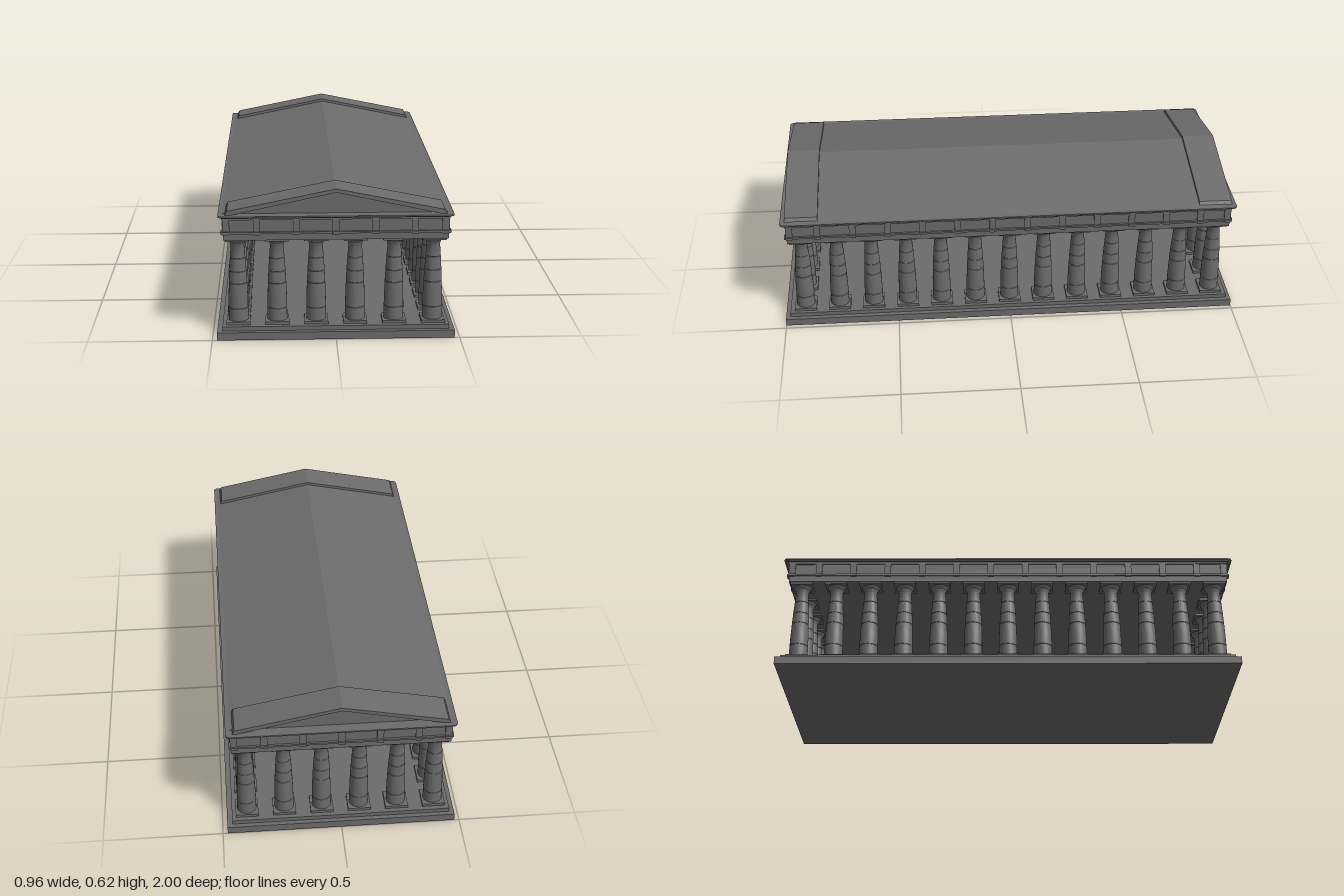
import * as THREE from 'three';
import { toCreasedNormals } from 'three/addons/utils/BufferGeometryUtils.js';

const stone = new THREE.MeshStandardMaterial({ color: 0x6c6c6c });

function add(parent, name, geometry, x = 0, y = 0, z = 0) {
  const mesh = new THREE.Mesh(geometry, stone);
  mesh.name = name;
  mesh.position.set(x, y, z);
  parent.add(mesh);
  return mesh;
}

// box given by half width, half depth and its bottom and top heights
function slab(parent, name, hx, hz, y0, y1, x = 0, z = 0) {
  return add(parent, name, new THREE.BoxGeometry(hx * 2, y1 - y0, hz * 2), x, (y0 + y1) / 2, z);
}

// flat slab with rounded corners in plan
function roundedSlab(parent, name, hx, hz, r, y0, y1) {
  const shape = new THREE.Shape();
  shape.absarc(hx - r, hz - r, r, 0, Math.PI / 2);
  shape.absarc(r - hx, hz - r, r, Math.PI / 2, Math.PI);
  shape.absarc(r - hx, r - hz, r, Math.PI, Math.PI * 1.5);
  shape.absarc(hx - r, r - hz, r, Math.PI * 1.5, Math.PI * 2);
  const geometry = new THREE.ExtrudeGeometry(shape, { depth: y1 - y0, bevelEnabled: false, curveSegments: 5 });
  return add(parent, name, geometry.rotateX(-Math.PI / 2), 0, y0, 0);
}

// profile in x/y extruded from z0 to z1
function prism(parent, name, points, z0, z1) {
  const shape = new THREE.Shape(points.map(([x, y]) => new THREE.Vector2(x, y)));
  const geometry = new THREE.ExtrudeGeometry(shape, { depth: z1 - z0, bevelEnabled: false });
  return add(parent, name, geometry, 0, 0, z0);
}

// swelling shaft with drum joints, topped by a flared capital
function shaftGeometry() {
  const radius = (y) => 0.0405 - 0.0135 * ((y - 0.062) / 0.313) ** 2;
  const points = [[0, 0.062], [radius(0.062), 0.062]];
  for (const y of [0.115, 0.168, 0.22, 0.27, 0.325]) {
    const r = radius(y);
    // the second height only shapes the swelling
    if (y === 0.168) points.push([r, y]);
    else points.push([r, y - 0.001], [r - 0.001, y], [r, y + 0.001]);
  }
  points.push([0.027, 0.375], [0.029, 0.38], [0.03, 0.386], [0.038, 0.396], [0.04, 0.403], [0, 0.403]);
  const lathe = new THREE.LatheGeometry(points.map(([x, y]) => new THREE.Vector2(x, y)), 24);
  return toCreasedNormals(lathe, 0.5);
}

export function createModel() {
  const model = new THREE.Group();
  model.name = 'temple';

  // stepped platform
  slab(model, 'lowerStep', 0.48, 1, 0, 0.032);
  slab(model, 'upperStep', 0.459, 0.98, 0.032, 0.05);

  // colonnade: 6 across the ends, 13 along the sides
  const xs = Array.from({ length: 6 }, (_, i) => (i - 2.5) * 0.158);
  const zs = Array.from({ length: 13 }, (_, i) => (i - 6) * 0.152);
  const shaft = shaftGeometry();
  const colonnade = new THREE.Group();
  colonnade.name = 'colonnade';
  model.add(colonnade);
  xs.forEach((x, i) => zs.forEach((z, j) => {
    if (i > 0 && i < 5 && j > 0 && j < 12) return;
    const column = new THREE.Group();
    column.name = 'column';
    column.position.set(x, 0, z);
    colonnade.add(column);
    slab(column, 'plinth', 0.048, 0.048, 0.05, 0.062);
    add(column, 'shaft', shaft);
    slab(column, 'abacus', 0.048, 0.048, 0.402, 0.411);
  }));

  // entablature: architrave, fillet, frieze and cornice
  const entablature = new THREE.Group();
  entablature.name = 'entablature';
  model.add(entablature);
  slab(entablature, 'architrave', 0.45, 0.967, 0.41, 0.437);
  slab(entablature, 'fillet', 0.456, 0.973, 0.437, 0.445);
  slab(entablature, 'frieze', 0.447, 0.964, 0.445, 0.495);
  slab(entablature, 'friezeCap', 0.455, 0.972, 0.495, 0.505);
  roundedSlab(entablature, 'cornice', 0.464, 0.985, 0.02, 0.505, 0.509);
  roundedSlab(entablature, 'corniceEdge', 0.47, 0.992, 0.02, 0.509, 0.515);

  // raised blocks between the frieze panels, with a peg strip below
  const endBlocks = [-0.438, ...xs.slice(1).map((x) => x - 0.079), 0.438];
  const sideBlocks = [-0.955, ...zs.slice(1).map((z) => z - 0.076), 0.955];
  for (const s of [-1, 1]) {
    for (const x of endBlocks) {
      slab(entablature, 'friezeBlock', 0.014, 0.006, 0.445, 0.495, x, s * 0.964);
      slab(entablature, 'pegStrip', 0.014, 0.006, 0.434, 0.446, x, s * 0.971);
    }
    for (const z of sideBlocks) {
      slab(entablature, 'friezeBlock', 0.006, 0.014, 0.445, 0.495, s * 0.447, z);
      slab(entablature, 'pegStrip', 0.006, 0.014, 0.434, 0.446, s * 0.454, z);
    }
  }

  // gabled roof, whose ends form the recessed pediment faces
  prism(model, 'roof', [[-0.458, 0.514], [0.458, 0.514], [0, 0.608]], -0.945, 0.945);

  // sloping cornices that cap both gables
  const raking = [
    [-0.443, 0.514], [-0.425, 0.514], [0, 0.605], [0.425, 0.514],
    [0.443, 0.514], [0.434, 0.532], [0, 0.62], [-0.434, 0.532],
  ];
  prism(model, 'frontRakingCornice', raking, 0.83, 0.972);
  prism(model, 'backRakingCornice', raking, -0.972, -0.83);

  return model;
}
